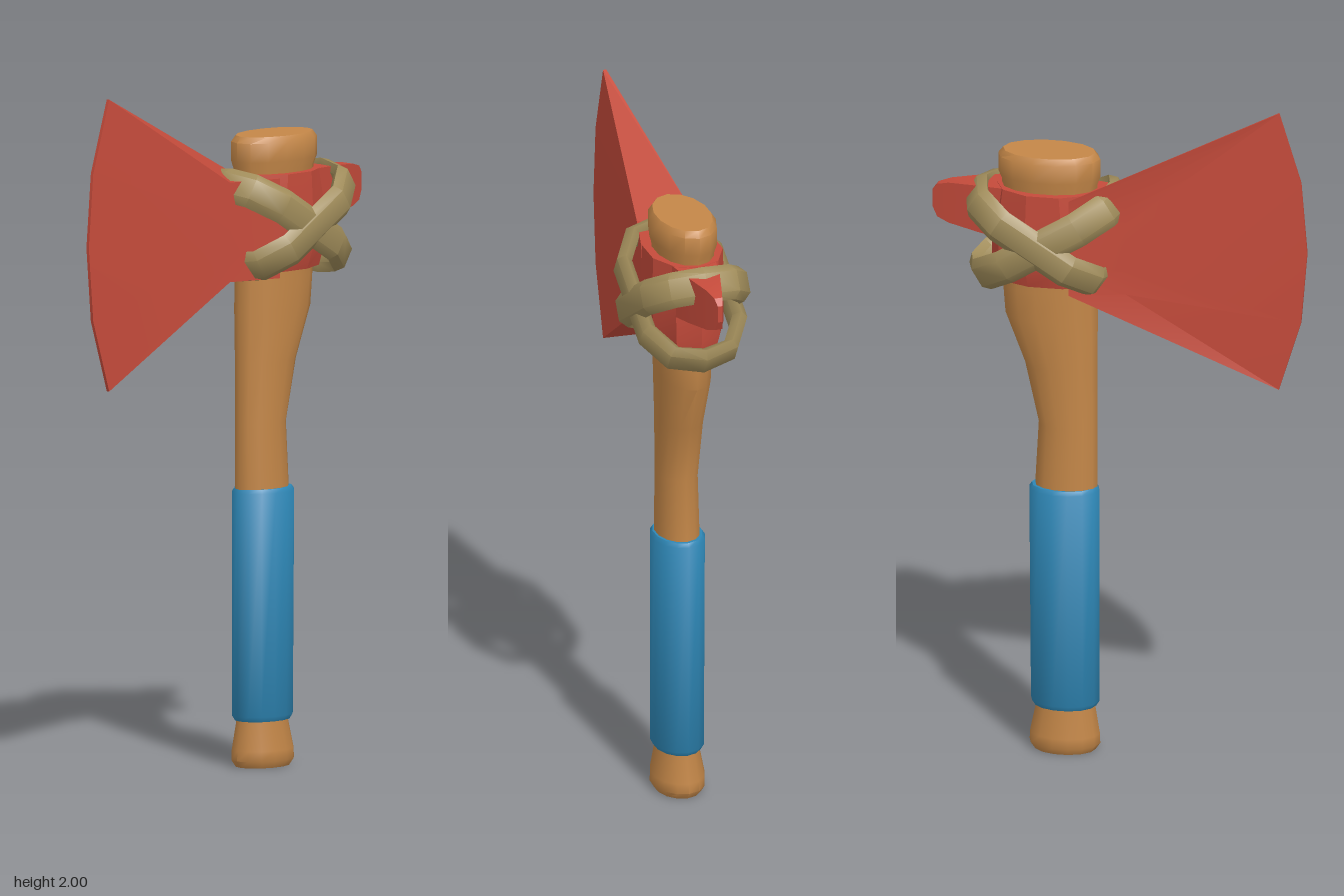
import * as THREE from 'three';
import { toCreasedNormals } from 'three/addons/utils/BufferGeometryUtils.js';

const mat = (name, color) => {
  const m = new THREE.MeshStandardMaterial({ color });
  m.name = name;
  return m;
};

// Skin between rings of points; open lofts get end caps, closed lofts join up
function loft(rings, closed = false, crease = 0.7) {
  const n = rings[0].length, pos = [], idx = [];
  rings.forEach(r => r.forEach(p => pos.push(...p)));
  const spans = closed ? rings.length : rings.length - 1;
  for (let i = 0; i < spans; i++) {
    const k = (i + 1) % rings.length;
    for (let j = 0; j < n; j++) {
      const j2 = (j + 1) % n;
      const a = i * n + j, b = i * n + j2, c = k * n + j, d = k * n + j2;
      idx.push(a, c, b, b, c, d);
    }
  }
  if (!closed) {
    const t = (rings.length - 1) * n;
    for (let j = 1; j < n - 1; j++) idx.push(0, j, j + 1, t, t + j + 1, t + j);
  }
  const g = new THREE.BufferGeometry();
  g.setAttribute('position', new THREE.Float32BufferAttribute(pos, 3));
  g.setIndex(idx);
  return toCreasedNormals(g, crease);
}

// Horizontal oval ring from x0 to x1 with half depth hz
function oval([y, x0, x1, hz], sides = 14) {
  return Array.from({ length: sides }, (_, i) => {
    const t = (i / sides) * Math.PI * 2;
    return [(x0 + x1) / 2 + Math.cos(t) * (x1 - x0) / 2, y, -0.006 + Math.sin(t) * hz];
  });
}

// Flat strap loop, tilted about z
function strapLoop(cx, cy, tilt, a, b) {
  const path = [[1, 0], [0.9, 0.62], [0.52, 1], [-0.52, 1], [-0.9, 0.62],
    [-1, 0], [-0.9, -0.62], [-0.52, -1], [0.52, -1], [0.9, -0.62]];
  const section = [[0, 0.052], [0.022, 0.03], [0.022, -0.03],
    [0, -0.052], [-0.022, -0.03], [-0.022, 0.03]];
  const c = Math.cos(tilt), s = Math.sin(tilt);
  return loft(path.map(([pu, pz]) => {
    const n = new THREE.Vector2(pu / a, pz / b).normalize();
    return section.map(([r, w]) => {
      const u = pu * a + n.x * r, z = pz * b + n.y * r;
      return [cx + u * c - w * s, cy + u * s + w * c, z];
    });
  }), true, 0.9);
}

export function createModel() {
  const group = new THREE.Group();
  const wood = mat('wood', 0xc48748);
  const red = mat('red metal', 0xc54b3b);
  const blue = mat('blue grip', 0x2e87b6);
  const hide = mat('tan binding', 0xa08c5a);
  const add = (name, geometry, material) => {
    const m = new THREE.Mesh(geometry, material);
    m.name = name;
    group.add(m);
  };

  // Handle with flared foot, curved neck and knob on top
  add('handle', loft([
    [0, 0.07, 0.25, 0.066], [0.02, 0.056, 0.264, 0.078], [0.05, 0.057, 0.262, 0.077],
    [0.13, 0.07, 0.245, 0.062], [0.8, 0.065, 0.248, 0.064], [1.0, 0.065, 0.237, 0.06],
    [1.18, 0.065, 0.277, 0.066], [1.33, 0.063, 0.335, 0.075], [1.42, 0.065, 0.342, 0.078],
    [1.74, 0.065, 0.345, 0.085], [1.765, 0.056, 0.356, 0.092],
    [1.82, 0.056, 0.356, 0.092], [1.838, 0.07, 0.342, 0.08],
  ].map(r => oval(r)), false, 0.8), wood);

  // Wrapped grip
  add('grip', loft([
    [0.135, 0.068, 0.25, 0.068], [0.15, 0.058, 0.26, 0.076],
    [0.8, 0.058, 0.265, 0.078], [0.812, 0.066, 0.257, 0.07],
  ].map(r => oval(r)), false, 0.9), blue);

  // Head collar around the handle
  add('headCollar', loft([
    [1.445, 0.035, 0.365, 0.095], [1.5, 0.03, 0.375, 0.113],
    [1.63, 0.03, 0.375, 0.115], [1.73, 0.05, 0.36, 0.112],
  ].map(r => oval(r, 10)), false, 0.4), red);

  // Blade fanning out to a thin curved edge
  const edge = [[-0.47, 1.15], [-0.535, 1.36], [-0.553, 1.575], [-0.535, 1.79], [-0.47, 2.0]];
  add('blade', loft(edge.map(([ex, ey], i) => {
    const y = 1.43 + 0.29 * i / 4, o = -0.006;
    return [[0.13, y, o - 0.1], [0.13, y, o + 0.1], [-0.03, y, o + 0.057],
      [ex, ey, o + 0.005], [ex, ey, o - 0.005], [-0.03, y, o - 0.057]];
  }), false, 0.3), red);

  // Tapered poll behind the head
  add('poll', loft([
    [0.3, 1.57, 1.73, 0.07], [0.41, 1.585, 1.727, 0.048], [0.5, 1.597, 1.72, 0.022],
    [0.535, 1.61, 1.71, 0.012], [0.55, 1.64, 1.69, 0.007],
  ].map(([x, y0, y1, h]) => [[x, y0, h], [x, y1, h], [x, y1, -h], [x, y0, -h]]), false, 0.4), red);

  // Crossed bindings
  add('bindingFalling', strapLoop(0.205, 1.582, -0.55, 0.238, 0.139), hide);
  add('bindingRising', strapLoop(0.227, 1.582, 0.56, 0.226, 0.143), hide);

  return group;
}
